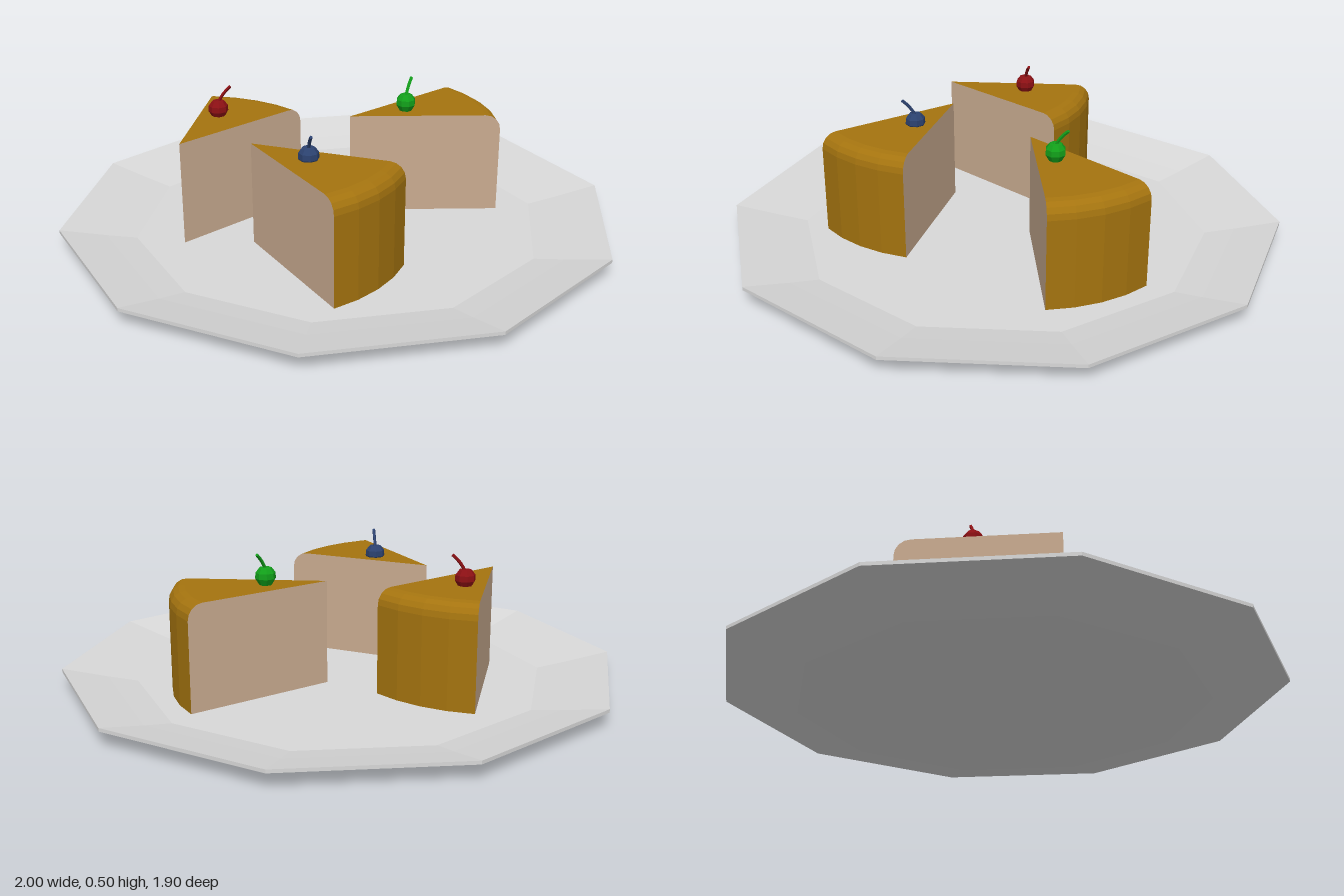
import * as THREE from 'three';

const mat = (name, color, side = THREE.FrontSide) =>
  new THREE.MeshStandardMaterial({ name, color, side, flatShading: true });
const points = (list) => list.map(([x, y]) => new THREE.Vector2(x, y));
const rad = THREE.MathUtils.degToRad;

const FLOOR = 0.012, TOP = 0.386, RADIUS = 0.55, BEVEL = 0.055, HALF = rad(20);

export function createModel() {
  const group = new THREE.Group();
  const plateGrey = mat('plateGrey', 0xd8d8d8);
  const crustBrown = mat('crustBrown', 0xa5740f);
  const spongeTan = mat('spongeTan', 0xc9ab90, THREE.DoubleSide);

  const add = (parent, name, geometry, material) => {
    const mesh = new THREE.Mesh(geometry, material);
    mesh.name = name;
    parent.add(mesh);
    return mesh;
  };

  // Ten-sided plate with a stepped rim
  add(group, 'plate', new THREE.LatheGeometry(points([
    [0, 0], [0.735, 0], [1, 0.054], [1, 0.066], [0.84, 0.032], [0.735, FLOOR], [0, FLOOR],
  ]), 10, Math.PI / 2), plateGrey);

  // Slice profile: straight back, rounded top edge, flat top to the tip
  const profile = [[RADIUS, FLOOR]];
  for (let i = 0; i <= 4; i++) {
    const a = (i / 4) * Math.PI / 2;
    profile.push([RADIUS - BEVEL + BEVEL * Math.cos(a), TOP - BEVEL + BEVEL * Math.sin(a)]);
  }
  profile.push([0, TOP]);
  const crustGeo = new THREE.LatheGeometry(points(profile), 4, Math.PI / 2 - HALF, HALF * 2);
  const sideGeo = new THREE.ShapeGeometry(new THREE.Shape(points([[0, FLOOR], ...profile])));

  // Berry with a dimpled top, and its curved stem
  const berryGeo = new THREE.LatheGeometry(points([
    [0, -0.036], [0.022, -0.03], [0.036, -0.006], [0.035, 0.014], [0.022, 0.031], [0.01, 0.033], [0, 0.024],
  ]), 8);
  const stemGeo = new THREE.TubeGeometry(new THREE.QuadraticBezierCurve3(
    new THREE.Vector3(0, 0.022, 0), new THREE.Vector3(0.012, 0.055, 0), new THREE.Vector3(0.046, 0.084, 0),
  ), 4, 0.006, 5);
  const stemTip = new THREE.CircleGeometry(0.006, 5);

  // Slices: tip position, heading, berry position, stem heading
  const slices = [
    { name: 'red', color: 0x8c1014, tip: [-0.57, 0.073], turn: -52, berry: [-0.41, 0.41, -0.19], lean: 0 },
    { name: 'green', color: 0x12a01a, tip: [0.058, -0.082], turn: -10, berry: [0.273, 0.415, -0.11], lean: -50 },
    { name: 'blue', color: 0x2c4270, tip: [-0.33, 0.114], turn: 50, berry: [-0.16, 0.396, 0.29], lean: 90 },
  ];
  for (const s of slices) {
    const slice = new THREE.Group();
    slice.name = s.name + 'BerrySlice';
    slice.position.set(s.tip[0], 0, s.tip[1]);
    slice.rotation.y = -rad(s.turn);
    add(slice, 'crust', crustGeo, crustBrown);
    for (const side of [-1, 1]) {
      add(slice, side > 0 ? 'leftCutFace' : 'rightCutFace', sideGeo, spongeTan).rotation.y = side * HALF;
    }

    const berry = new THREE.Group();
    berry.name = s.name + 'Berry';
    berry.position.set(...s.berry);
    berry.rotation.y = -rad(s.lean);
    const skin = mat(s.name + 'Skin', s.color);
    add(berry, 'fruit', berryGeo, skin);
    add(berry, 'stem', stemGeo, skin);
    const tip = add(berry, 'stemTip', stemTip, skin);
    tip.position.set(0.046, 0.084, 0);
    tip.lookAt(new THREE.Vector3(0.08, 0.113, 0));
    tip.rotation.set(0, 0, 0);
    tip.quaternion.setFromUnitVectors(new THREE.Vector3(0, 0, 1), new THREE.Vector3(0.76, 0.65, 0).normalize());
    group.add(slice, berry);
  }
  return group;
}
